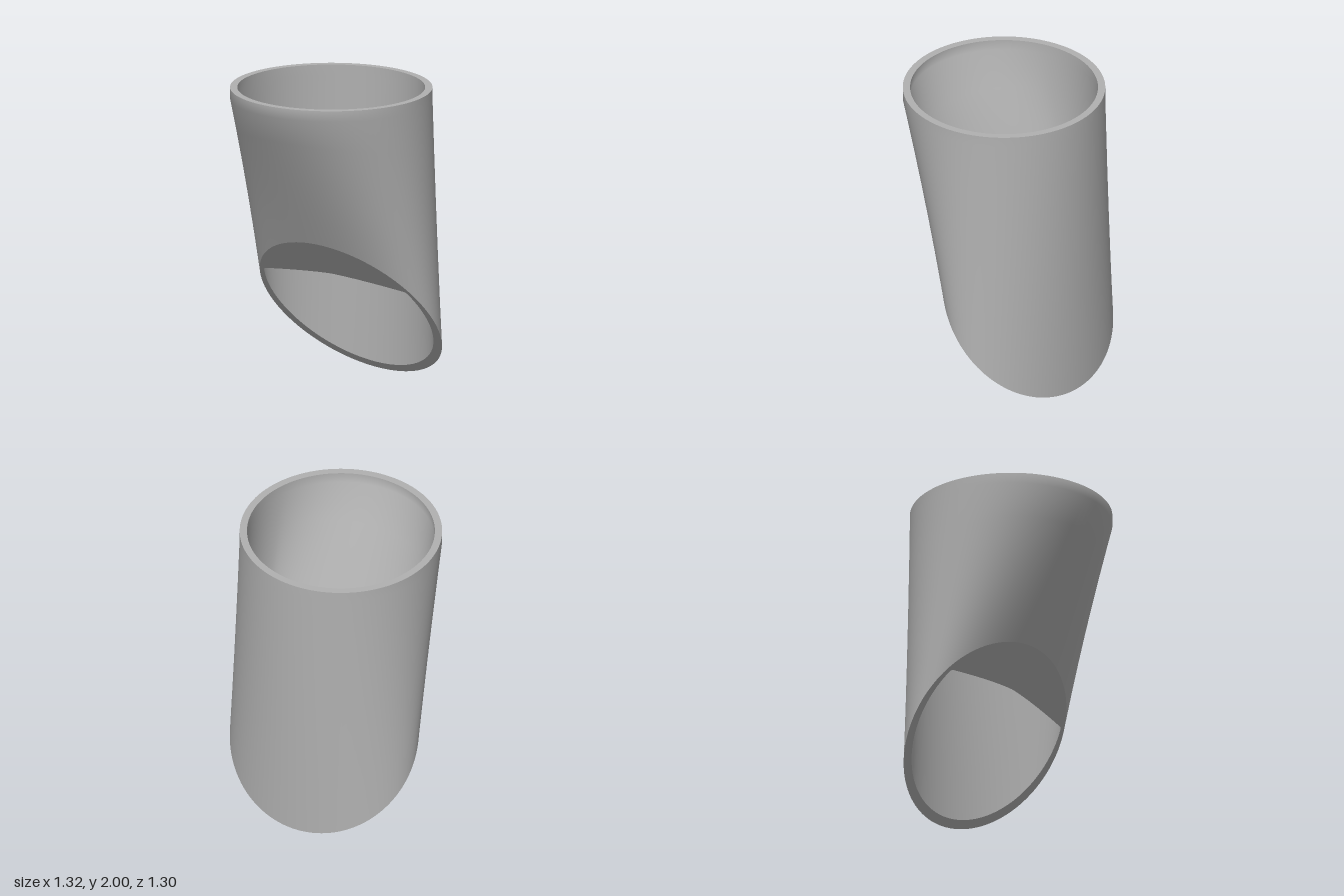
import * as THREE from 'three';

const SEGMENTS = 120;

// Height of the slanted base plane at depth z
const baseY = (z) => (z + 0.63) / 0.83;

// Horizontal circle used at the mouth and the lip
const circle = (radius, y) => (a) => [radius * Math.cos(a), y, radius * Math.sin(a)];

// Outer edge of the slanted base: a full ellipse
const outerBase = (a) => {
  const z = -0.215 + 0.415 * Math.sin(a);
  return [0.66 * Math.cos(a), baseY(z), z];
};

// Inner edge of the base: an ellipse cut off at the front by a shallow bow
const innerBase = (a) => {
  const x = 0.61 * Math.cos(a);
  const bow = 0.005 - 0.045 * Math.pow(Math.abs(x) / 0.57, 1.4);
  const z = Math.min(-0.19 + 0.4 * Math.sin(a), bow);
  return [x, baseY(z), z];
};

// Straight blend between two ring functions
const blend = (r0, r1, t) => (a) => {
  const p = r0(a), q = r1(a);
  return p.map((v, k) => v + (q[k] - v) * t);
};

// Skin a list of closed rings with smooth normals
function loft(rings) {
  const positions = [], index = [];
  for (const ring of rings) {
    for (let i = 0; i < SEGMENTS; i++) positions.push(...ring((i / SEGMENTS) * Math.PI * 2));
  }
  for (let j = 0; j < rings.length - 1; j++) {
    for (let i = 0; i < SEGMENTS; i++) {
      const n = (i + 1) % SEGMENTS;
      const a = j * SEGMENTS + i, b = j * SEGMENTS + n;
      const c = a + SEGMENTS, d = b + SEGMENTS;
      index.push(a, c, b, b, c, d);
    }
  }
  const geometry = new THREE.BufferGeometry();
  geometry.setAttribute('position', new THREE.Float32BufferAttribute(positions, 3));
  geometry.setIndex(index);
  geometry.computeVertexNormals();
  return geometry;
}

export function createModel() {
  const group = new THREE.Group();
  group.name = 'slantedTube';
  const grey = new THREE.MeshStandardMaterial({ color: 0xb0b0b0 });
  grey.name = 'plain grey';

  const outerTop = circle(0.652, 2), outerLip = circle(0.652, 1.93);
  const innerTop = circle(0.605, 2), innerLip = circle(0.605, 1.93);
  const steps = [0, 0.2, 0.4, 0.6, 0.8, 1];

  const parts = {
    // Outside skin, from the slanted base up to the short straight lip
    outerWall: [...steps.map((t) => blend(outerBase, outerLip, t)), outerTop],
    // Flat ring around the mouth
    topRim: [outerTop, innerTop],
    // Bore, narrowing down to the cut-off base opening
    innerWall: [innerTop, ...steps.map((t) => blend(innerLip, innerBase, t))],
    // Slanted underside between the outer edge and the opening
    baseFace: [innerBase, outerBase],
  };
  for (const [name, rings] of Object.entries(parts)) {
    const mesh = new THREE.Mesh(loft(rings), grey);
    mesh.name = name;
    group.add(mesh);
  }
  return group;
}
